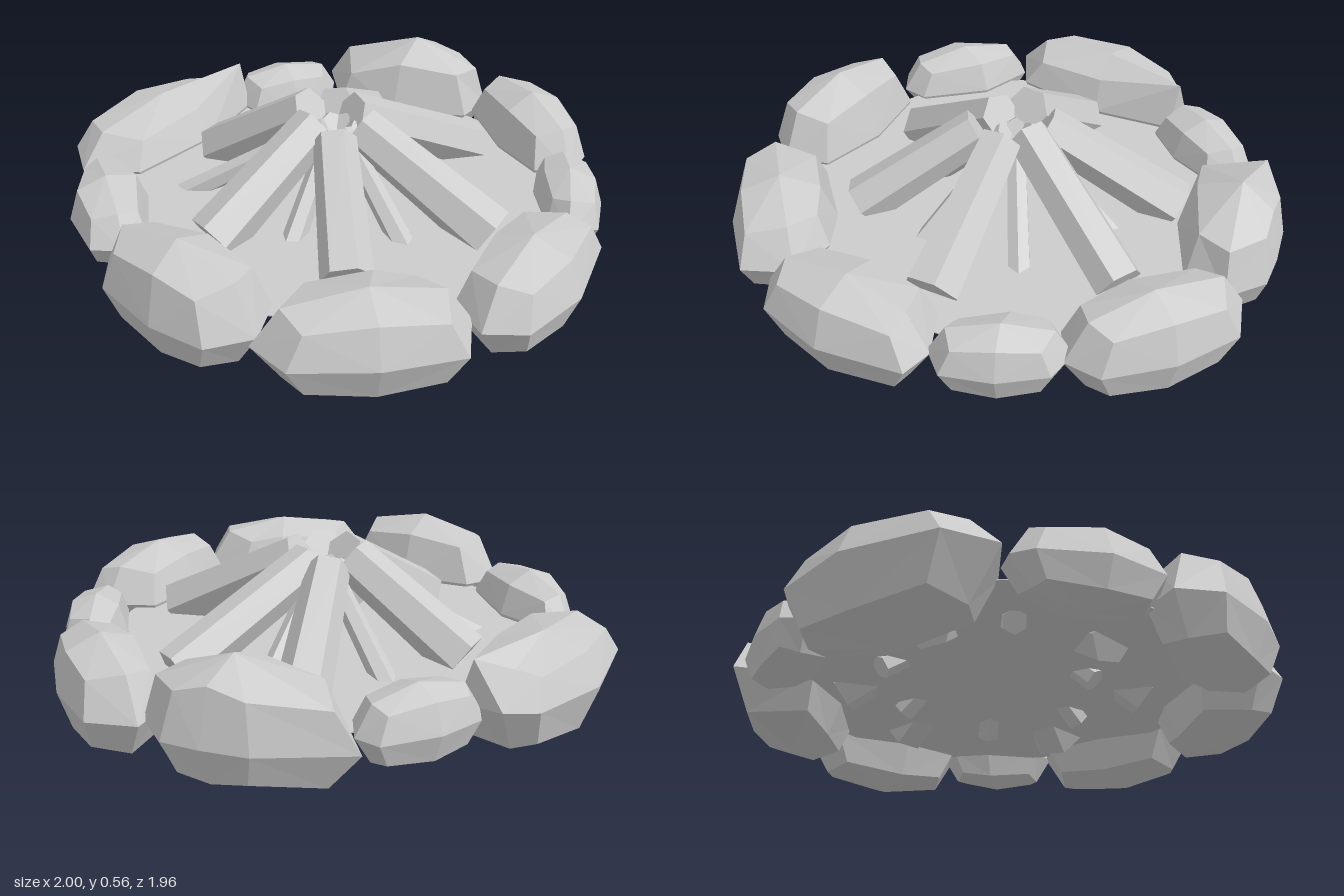
import * as THREE from 'three';

const stoneGrey = new THREE.MeshStandardMaterial({ color: 0xcccccc });
stoneGrey.name = 'light grey';

// Gives each facet its own normal
function facetedMesh(geometry, name) {
  const geo = geometry.index ? geometry.toNonIndexed() : geometry;
  geo.computeVertexNormals();
  const mesh = new THREE.Mesh(geo, stoneGrey);
  mesh.name = name;
  return mesh;
}

// Rounded boulder: an eight-point plan outline, narrowed towards the top and bottom.
// Outline runs clockwise from above, alternating side centres and corners.
// rim moves chosen points of the upper ring, for uneven boulders.
function makeStone(name, bottom, top, outline, rim = {}) {
  const mid = 0.22;
  const cx = outline.reduce((s, p) => s + p[0], 0) / 8;
  const cz = outline.reduce((s, p) => s + p[1], 0) / 8;
  const narrowed = (limit) => outline.map(([x, z], i) => {
    const scale = i % 2 ? 0.8 : 0.74;
    const rise = i % 2 ? 0.63 : 0.75;
    return [cx + (x - cx) * scale, mid + (limit - mid) * rise, cz + (z - cz) * scale];
  });
  const lower = narrowed(bottom);
  const middle = outline.map(([x, z]) => [x, mid, z]);
  const upper = Object.assign(narrowed(top), rim);

  const pos = [];
  const tri = (a, b, c) => pos.push(...a, ...b, ...c);
  for (let i = 0; i < 8; i++) {
    const j = (i + 1) % 8;
    for (const [a, b] of [[lower, middle], [middle, upper]]) {
      // diagonals meet at the side centres
      if (i % 2) { tri(a[i], b[i], a[j]); tri(b[i], b[j], a[j]); }
      else { tri(a[i], b[i], b[j]); tri(a[i], b[j], a[j]); }
    }
    tri([cx, top, cz], upper[j], upper[i]);
    tri([cx, bottom, cz], lower[i], lower[j]);
  }
  const geo = new THREE.BufferGeometry();
  geo.setAttribute('position', new THREE.Float32BufferAttribute(pos, 3));
  return facetedMesh(geo, name);
}

// Six-sided tapered log between its upper and lower ends
function makeLog(name, upper, lower, upperRadius, lowerRadius) {
  const a = new THREE.Vector3(...upper), b = new THREE.Vector3(...lower);
  const dir = a.clone().sub(b);
  const mesh = facetedMesh(new THREE.CylinderGeometry(upperRadius, lowerRadius, dir.length(), 6), name);
  mesh.position.copy(a).add(b).multiplyScalar(0.5);
  mesh.quaternion.setFromUnitVectors(new THREE.Vector3(0, 1, 0), dir.normalize());
  return mesh;
}

export function createModel() {
  const model = new THREE.Group();
  model.name = 'campfire';

  // Ground disc inside the ring
  const disc = facetedMesh(new THREE.CylinderGeometry(0.76, 0.76, 0.004, 24), 'groundDisc');
  disc.position.y = 0.206;
  model.add(disc);

  // Ring of stones
  const ring = new THREE.Group();
  ring.name = 'stoneRing';
  ring.add(
    makeStone('frontStone', 0.045, 0.44, [[-0.35, 0.79], [-0.27, 0.67], [-0.01, 0.63], [0.24, 0.68],
      [0.30, 0.83], [0.20, 0.96], [0, 0.975], [-0.25, 0.92]]),
    makeStone('frontLeftStone', 0.04, 0.39, [[0.30, 0.87], [0.28, 0.65], [0.46, 0.45], [0.60, 0.37],
      [0.77, 0.38], [0.855, 0.54], [0.68, 0.74], [0.46, 0.90]]),
    makeStone('leftStone', 0.045, 0.39, [[0.83, -0.21], [0.94, -0.19], [1, 0.10], [0.95, 0.35],
      [0.83, 0.43], [0.69, 0.35], [0.65, 0.11], [0.67, -0.13]]),
    makeStone('smallBackLeftStone', 0.09, 0.35, [[0.60, -0.58], [0.72, -0.57], [0.83, -0.44], [0.89, -0.28],
      [0.82, -0.19], [0.73, -0.21], [0.60, -0.37], [0.55, -0.50]]),
    makeStone('backLeftStone', 0.04, 0.40, [[0.11, -0.92], [0.27, -0.98], [0.48, -0.87], [0.65, -0.70],
      [0.65, -0.57], [0.54, -0.50], [0.34, -0.59], [0.12, -0.78]]),
    makeStone('backRightStone', 0.045, 0.47, [[-0.55, -0.74], [-0.28, -0.91], [-0.13, -0.945], [0, -0.96],
      [0.13, -0.87], [0.12, -0.72], [-0.13, -0.58], [-0.36, -0.54]],
    { 0: [-0.47, 0.35, -0.76], 4: [0.09, 0.37, -0.85], 7: [-0.33, 0.34, -0.57] }),
    makeStone('smallBackRightStone', 0.09, 0.35, [[-0.48, -0.66], [-0.42, -0.56], [-0.48, -0.40], [-0.59, -0.27],
      [-0.72, -0.29], [-0.76, -0.37], [-0.70, -0.52], [-0.57, -0.67]]),
    makeStone('rightStone', 0, 0.37, [[-0.80, -0.30], [-0.65, -0.30], [-0.60, 0], [-0.64, 0.35],
      [-0.82, 0.46], [-0.97, 0.35], [-1, 0.03], [-0.90, -0.24]],
    { 1: [-0.70, 0.385, -0.31] }),
    makeStone('smallFrontRightStone', 0.09, 0.36, [[-0.76, 0.45], [-0.70, 0.39], [-0.50, 0.45], [-0.32, 0.64],
      [-0.33, 0.74], [-0.43, 0.80], [-0.62, 0.71], [-0.75, 0.53]])
  );
  model.add(ring);

  // Thick logs: upper x, y, z, then lower x, z and the two radii
  const logs = new THREE.Group();
  logs.name = 'logs';
  for (const [ux, uy, uz, lx, lz, ur, lr] of [
    [0.10, 0.49, 0, 0.60, -0.05, 0.078, 0.1],
    [0.07, 0.485, 0.11, 0.345, 0.43, 0.075, 0.09],
    [-0.03, 0.495, 0.08, -0.145, 0.51, 0.078, 0.098],
    [-0.10, 0.505, 0.015, -0.53, 0.03, 0.08, 0.095],
    [-0.06, 0.485, -0.08, -0.22, -0.53, 0.077, 0.093],
    [0.02, 0.49, -0.06, 0.25, -0.55, 0.079, 0.088],
  ]) logs.add(makeLog('log', [ux, uy, uz], [lx, 0.215, lz], ur, lr));

  // Thin sticks between the logs
  for (const [x, z] of [[-0.01, -0.39], [0.35, -0.23], [0.38, 0.14], [0.06, 0.35], [-0.46, 0.31], [-0.38, -0.24]]) {
    const r = Math.hypot(x, z);
    logs.add(makeLog('stick', [x / r * 0.04, 0.46, z / r * 0.04], [x, 0.175, z], 0.035, 0.042));
  }
  model.add(logs);
  return model;
}
